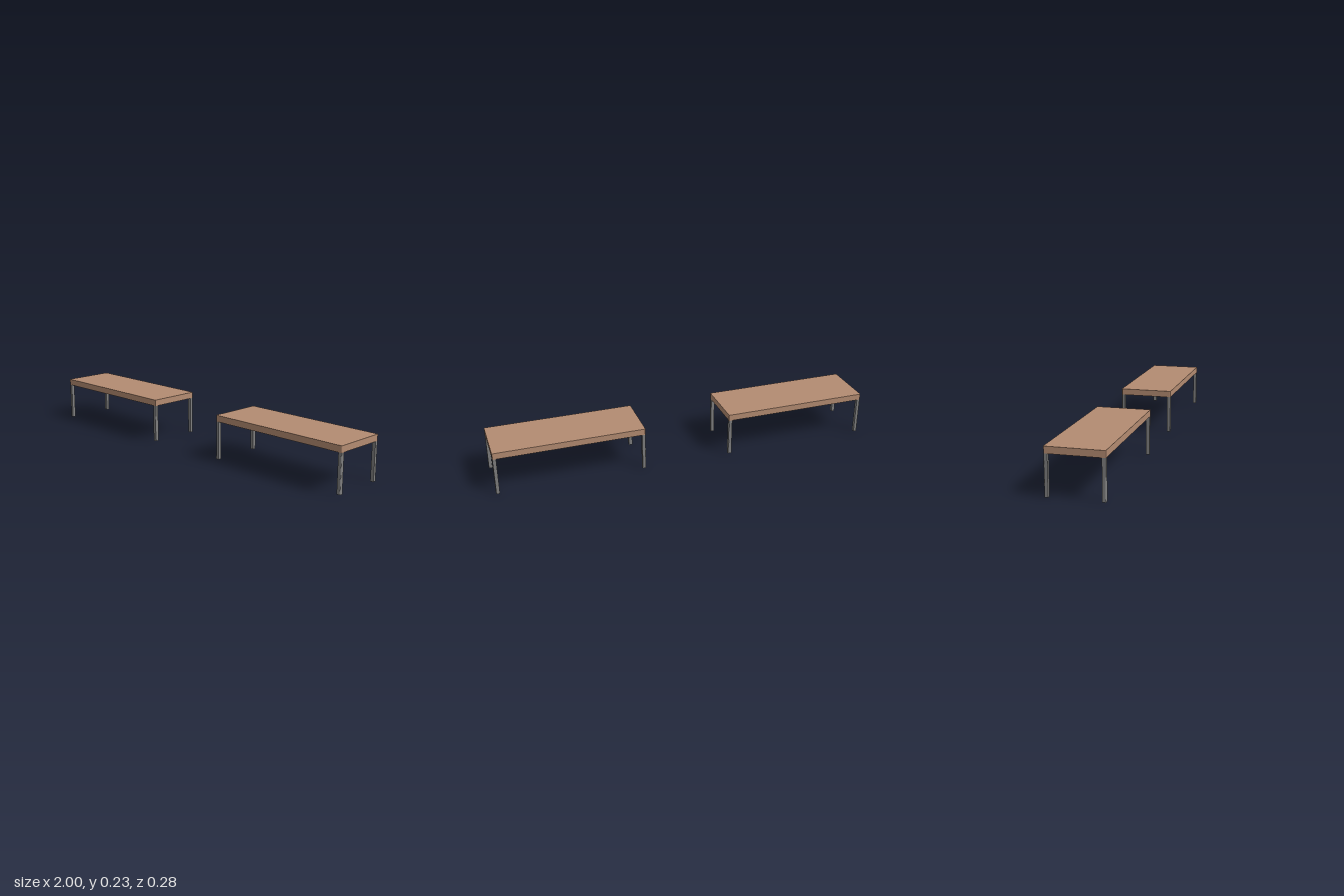
import * as THREE from 'three';

const WIDTH = 0.772, DEPTH = 0.278, HEIGHT = 0.229, SLAB = 0.033, LEG = 0.018, R = 0.004;

// Upright prism over a rectangle (x0..x1, z0..z1); rounds only the listed corners
function prism(x0, x1, z0, z1, height, rounded) {
  const corners = [[x0, z0], [x1, z0], [x1, z1], [x0, z1]];
  const points = [];
  corners.forEach(([x, z], i) => {
    if (!rounded.includes(i)) return points.push(new THREE.Vector2(x, z));
    const cx = x + (i === 0 || i === 3 ? R : -R);
    const cz = z + (i < 2 ? R : -R);
    for (let k = 0; k <= 3; k++) {
      const a = Math.PI + (i + k / 3) * Math.PI / 2;
      points.push(new THREE.Vector2(cx + R * Math.cos(a), cz + R * Math.sin(a)));
    }
  });
  const geometry = new THREE.ExtrudeGeometry(new THREE.Shape(points), { depth: height, bevelEnabled: false });
  return geometry.rotateX(-Math.PI / 2);
}

function createTable(name) {
  const table = new THREE.Group();
  table.name = name;
  const wood = new THREE.MeshStandardMaterial({ color: 0xb48c72 });
  const metal = new THREE.MeshStandardMaterial({ color: 0x808080 });
  const w = WIDTH / 2, d = DEPTH / 2;

  // Wooden slab with softly rounded corners
  const top = new THREE.Mesh(prism(-w, w, -d, d, SLAB, [0, 1, 2, 3]), wood);
  top.name = 'tableTop';
  top.position.y = HEIGHT - SLAB;
  table.add(top);

  // Four square legs flush with the corners, rounded on the outer edge
  const legGeometry = prism(0, LEG, 0, LEG, HEIGHT - SLAB, [0]);
  const spots = [['frontRightLeg', -w, d, 0], ['frontLeftLeg', w, d, 1], ['backLeftLeg', w, -d, 2], ['backRightLeg', -w, -d, 3]];
  for (const [legName, x, z, turn] of spots) {
    const leg = new THREE.Mesh(legGeometry, metal);
    leg.name = legName;
    leg.position.set(x, 0, z);
    leg.rotation.y = turn * Math.PI / 2;
    table.add(leg);
  }
  return table;
}

export function createModel() {
  const model = new THREE.Group();
  model.name = 'tablePair';
  // Two matching tables side by side
  for (const side of [-1, 1]) {
    const table = createTable(side < 0 ? 'rightTable' : 'leftTable');
    table.position.x = side * (1 - WIDTH / 2);
    model.add(table);
  }
  return model;
}
